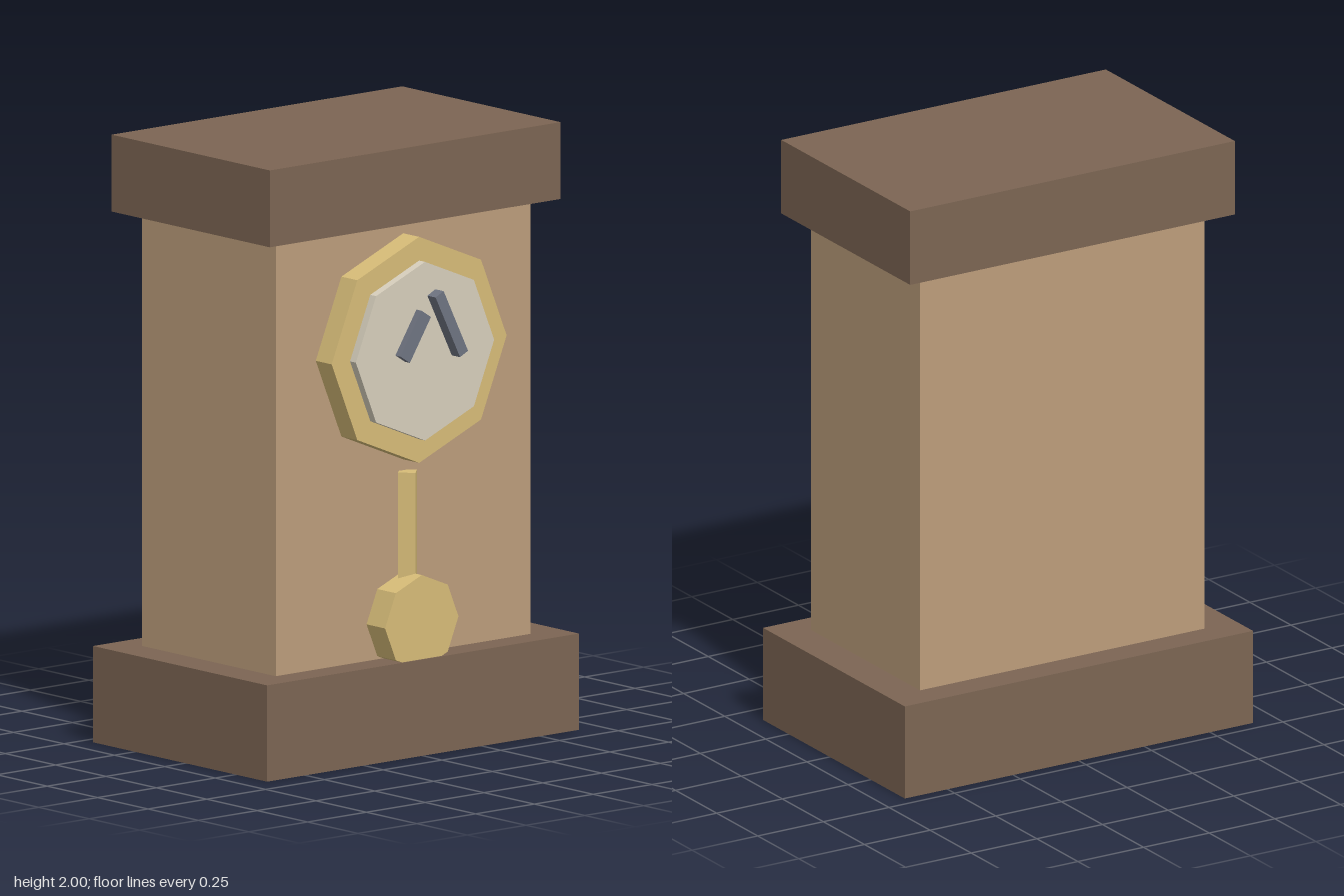
import * as THREE from 'three';

const paint = (name, color) => {
  const m = new THREE.MeshStandardMaterial({ color });
  m.name = name;
  return m;
};

export function createModel() {
  const clock = new THREE.Group();
  clock.name = 'mantelClock';

  const darkWood = paint('darkWood', 0x7c6553);
  const lightWood = paint('lightWood', 0xbc9d7b);
  const brass = paint('brass', 0xd7bc78);
  const cream = paint('cream', 0xd7cfbc);
  const slate = paint('slate', 0x6f7481);

  const add = (name, geometry, material, x, y, z) => {
    const mesh = new THREE.Mesh(geometry, material);
    mesh.name = name;
    mesh.position.set(x, y, z);
    clock.add(mesh);
    return mesh;
  };

  // Box placed by its vertical and depth extents
  const block = (name, material, width, y0, y1, z0, z1, x = 0) =>
    add(name, new THREE.BoxGeometry(width, y1 - y0, z1 - z0), material, x, (y0 + y1) / 2, (z0 + z1) / 2);

  // Eight-sided disc facing the front, one corner pointing up
  const disc = (name, material, radius, y, z0, z1) => {
    const geometry = new THREE.CylinderGeometry(radius, radius, z1 - z0, 8).toNonIndexed();
    geometry.rotateX(Math.PI / 2);
    geometry.computeVertexNormals();
    return add(name, geometry, material, 0, y, (z0 + z1) / 2);
  };

  // Case
  block('base', darkWood, 1.326, 0, 0.317, -0.457, 0.406);
  block('body', lightWood, 1.084, 0.317, 1.747, -0.356, 0.308);
  block('cap', darkWood, 1.236, 1.747, 2, -0.418, 0.367);

  // Dial
  disc('bezel', brass, 0.372, 1.333, 0.29, 0.387);
  disc('dialFace', cream, 0.294, 1.333, 0.37, 0.416);

  // Hands
  block('hourHand', slate, 0.048, 1.309, 1.475, 0.405, 0.441, -0.061).rotation.z = -0.57;
  block('minuteHand', slate, 0.038, 1.301, 1.535, 0.405, 0.457, 0.079).rotation.z = 0.46;

  // Pendulum: diamond-section rod and eight-sided bob
  const rod = new THREE.CylinderGeometry(0.04, 0.04, 0.485, 4).toNonIndexed();
  rod.computeVertexNormals();
  add('pendulumRod', rod, brass, 0, 0.683, 0.329);
  disc('pendulumBob', brass, 0.156, 0.438, 0.295, 0.4);

  return clock;
}
